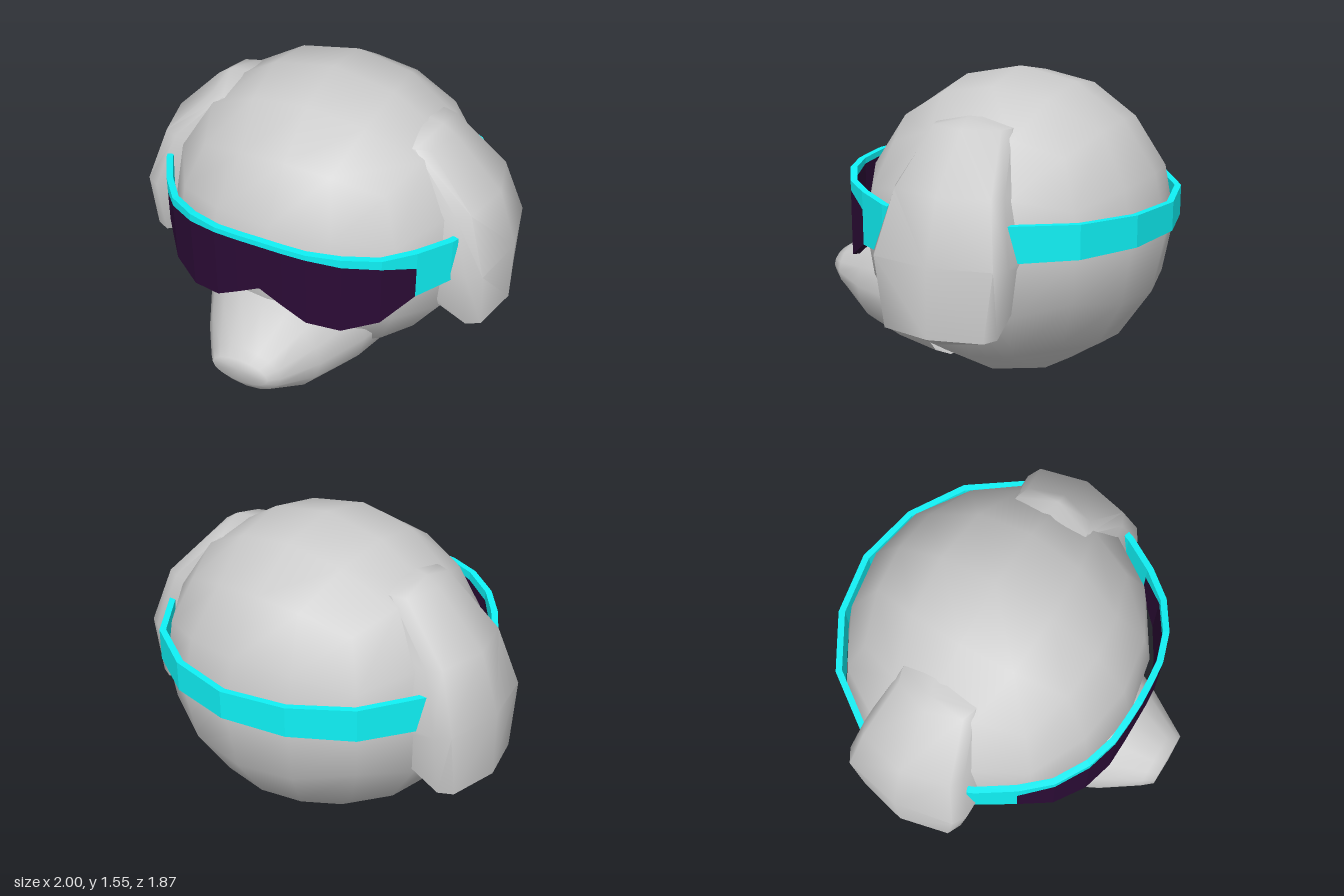
import * as THREE from 'three';
import { mergeVertices, toCreasedNormals } from 'three/addons/utils/BufferGeometryUtils.js';

const shellMat = new THREE.MeshStandardMaterial({ color: 0xcccccc, side: THREE.DoubleSide });
const frameMat = new THREE.MeshStandardMaterial({ color: 0x0ff2f6, flatShading: true });
const lensMat = new THREE.MeshStandardMaterial({ color: 0x2b0b35, flatShading: true });

// Skin a list of closed rings of [x, y, z]; tips close the ends (null leaves an end open)
function loft(rings, startTip, endTip) {
  const n = rings[0].length, pts = rings.flat(), idx = [];
  for (let r = 0; r < rings.length - 1; r++) {
    for (let i = 0; i < n; i++) {
      const a = r * n + i, b = r * n + (i + 1) % n;
      idx.push(a, b, a + n, b, b + n, a + n);
    }
  }
  const fan = (tip, first, flip) => {
    if (!tip) return;
    const t = pts.push(tip) - 1;
    for (let i = 0; i < n; i++) {
      const a = first + i, b = first + (i + 1) % n;
      idx.push(...(flip ? [t, b, a] : [t, a, b]));
    }
  };
  fan(startTip, 0, true);
  fan(endTip, (rings.length - 1) * n, false);
  // Turn the faces outward when the signed volume is negative
  const v = pts.map(p => new THREE.Vector3(...p));
  const mid = v.reduce((s, p) => s.add(p), new THREE.Vector3()).divideScalar(v.length);
  const rel = v.map(p => p.clone().sub(mid));
  let volume = 0;
  for (let i = 0; i < idx.length; i += 3) {
    volume += rel[idx[i]].dot(rel[idx[i + 1]].clone().cross(rel[idx[i + 2]]));
  }
  if (volume < 0) idx.reverse();
  const g = new THREE.BufferGeometry().setFromPoints(v);
  g.setIndex(idx);
  g.computeVertexNormals();
  return g;
}

// Curved wall through stations [x, z, bottom, top], thickened towards the head's axis
function wall(path, t = 0.033) {
  const rings = path.map(([x, z, y0, y1]) => {
    const len = Math.hypot(x, z + 0.12);
    const xi = x - x / len * t, zi = z - (z + 0.12) / len * t;
    return [[x, y0, z], [x, y1, z], [xi, y1, zi], [xi, y0, zi]];
  });
  const centre = r => [0, 1, 2].map(k => r.reduce((s, p) => s + p[k], 0) / 4);
  return loft(rings, centre(rings[0]), centre(rings[rings.length - 1]));
}

// Complete a half path that ends on x = 0
const mirrorPath = half => [...half, ...half.slice(0, -1).reverse().map(([x, ...r]) => [-x, ...r])];

// Even quad sphere with a square neck opening underneath
function headShell() {
  const box = new THREE.BoxGeometry(2, 2, 2, 4, 4, 4);
  box.deleteAttribute('uv');
  box.deleteAttribute('normal');
  const g = mergeVertices(box), p = g.attributes.position, src = g.index.array, keep = [];
  for (let i = 0; i < src.length; i += 3) {
    const tri = [src[i], src[i + 1], src[i + 2]];
    const neck = tri.every(k => p.getY(k) < -0.99 && Math.abs(p.getX(k)) < 0.6 && Math.abs(p.getZ(k)) < 0.6);
    if (!neck) keep.push(...tri);
  }
  g.setIndex(keep);
  const v = new THREE.Vector3();
  for (let i = 0; i < p.count; i++) {
    v.fromBufferAttribute(p, i);
    v.set(...v.toArray().map(c => Math.tan(c * Math.PI / 4))).normalize();
    p.setXYZ(i, v.x * 0.84, 0.77 + v.y * 0.78, -0.12 + v.z * 0.78);
  }
  g.computeVertexNormals();
  return g;
}

// Tapering chin guard, elliptical sections [z, bottom, top, half width]
function chinGuard() {
  const sections = [
    [0.19, 0.0, 0.74, 0.5], [0.43, 0.04, 0.72, 0.44], [0.68, 0.11, 0.63, 0.31],
    [0.87, 0.26, 0.52, 0.19], [0.925, 0.34, 0.485, 0.15],
  ];
  const rings = sections.map(([z, y0, y1, w]) => Array.from({ length: 16 }, (_, i) => {
    const a = i / 16 * Math.PI * 2;
    return [Math.cos(a) * w, (y0 + y1) / 2 + Math.sin(a) * (y1 - y0) / 2, z];
  }));
  return loft(rings, null, [0, 0.42, 0.93]);
}

// Ear cover, levels [height, outermost x, half depth in z]
function earCover(s) {
  const levels = [[0.44, 1, 0.29], [0.78, 1, 0.345], [1.08, 0.9, 0.28], [1.34, 0.65, 0.2]];
  const rings = levels.map(([y, out, h], k) => {
    const half = [[0.55, 1], [0.13, 1], [0.06, 0.88]];
    const side = sz => half.map(([d, f], i) =>
      [s * (out - d), k === 0 && i === 0 ? 0.65 : y, -0.12 + sz * f * h]);
    return [...side(1), [s * out, y, -0.12], ...side(-1).reverse()];
  });
  return toCreasedNormals(loft(rings, [s * 0.89, 0.38, -0.12], [s * 0.58, 1.385, -0.12]), 0.95);
}

export function createModel() {
  const model = new THREE.Group();
  const add = (name, geometry, material) => {
    const mesh = new THREE.Mesh(geometry, material);
    mesh.name = name;
    model.add(mesh);
  };

  add('headShell', headShell(), shellMat);
  add('chinGuard', chinGuard(), shellMat);
  add('leftEarCover', earCover(1), shellMat);
  add('rightEarCover', earCover(-1), shellMat);

  // Goggle lens [x, z, bottom, top] with a notch over the nose
  const lens = [
    [0.68, 0.4, 0.735, 0.91], [0.56, 0.54, 0.635, 0.965], [0.4, 0.64, 0.6, 0.995],
    [0.24, 0.69, 0.63, 1.02], [0.12, 0.7, 0.7, 1.025], [0, 0.705, 0.77, 1.03],
  ];
  add('goggleLens', wall(mirrorPath(lens)), lensMat);

  // Frame: a rim above the lens and a plate at each side
  const rimTops = [1.0, 1.015, 1.04, 1.05, 1.055, 1.06];
  add('goggleRim', wall(mirrorPath(lens.map(([x, z, , top], i) => [x, z, top, rimTops[i]]))), frameMat);
  for (const s of [1, -1]) {
    add(s > 0 ? 'leftGogglePlate' : 'rightGogglePlate',
      wall([[s * 0.805, 0.19, 0.735, 0.98], [s * 0.79, 0.225, 0.74, 0.982], [s * 0.68, 0.4, 0.735, 1.0]]), frameMat);
  }

  // Strap round the back
  add('backStrap', wall(mirrorPath([
    [0.805, -0.42, 0.78, 0.955], [0.61, -0.7, 0.785, 0.95], [0.33, -0.87, 0.79, 0.945], [0, -0.935, 0.795, 0.94],
  ])), frameMat);

  return model;
}
